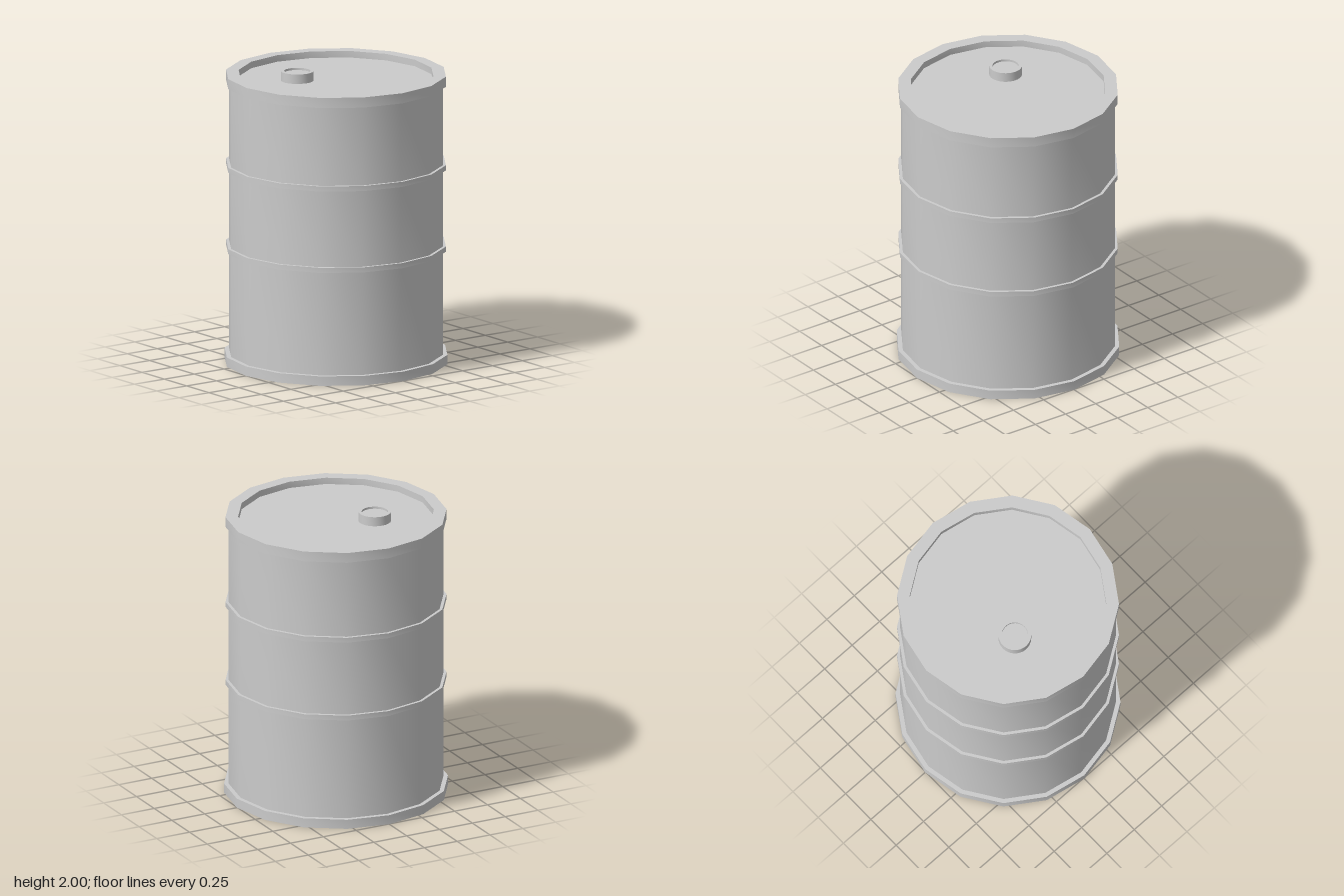
import * as THREE from 'three';
import { toCreasedNormals } from 'three/addons/utils/BufferGeometryUtils.js';

const material = new THREE.MeshStandardMaterial({ color: 0xcccccc });

// Turn a [radius, height] profile, smooth around the axis and sharp at its corners
function turned(name, profile, sides) {
  const points = profile.map(([r, y]) => new THREE.Vector2(r, y));
  const mesh = new THREE.Mesh(toCreasedNormals(new THREE.LatheGeometry(points, sides), 0.6), material);
  mesh.name = name;
  return mesh;
}

export function createModel() {
  const group = new THREE.Group();
  group.name = 'barrel';
  const sides = 16, wall = 0.725, hoop = 0.745;

  // Bottom plate and foot rim, running up into the wall
  const profile = [[0, 0], [0.755, 0], [0.755, 0.065], [wall, 0.065]];

  // Two raised hoops around the wall
  for (const y of [0.775, 1.335]) {
    profile.push([wall, y], [hoop, y], [hoop, y + 0.035], [wall, y + 0.035]);
  }

  // Top rim and recessed lid
  profile.push([wall, 1.91], [hoop, 1.91], [hoop, 1.98], [0.66, 1.98], [0.66, 1.935], [0, 1.935]);
  group.add(turned('drumBody', profile, sides));

  // Filler cap with a shallow dished top
  const cap = turned('fillerCap', [[0.11, 1.93], [0.11, 2], [0.088, 2], [0.088, 1.985], [0, 1.985]], 32);
  cap.position.set(-0.22, 0, -0.14);
  group.add(cap);

  return group;
}
